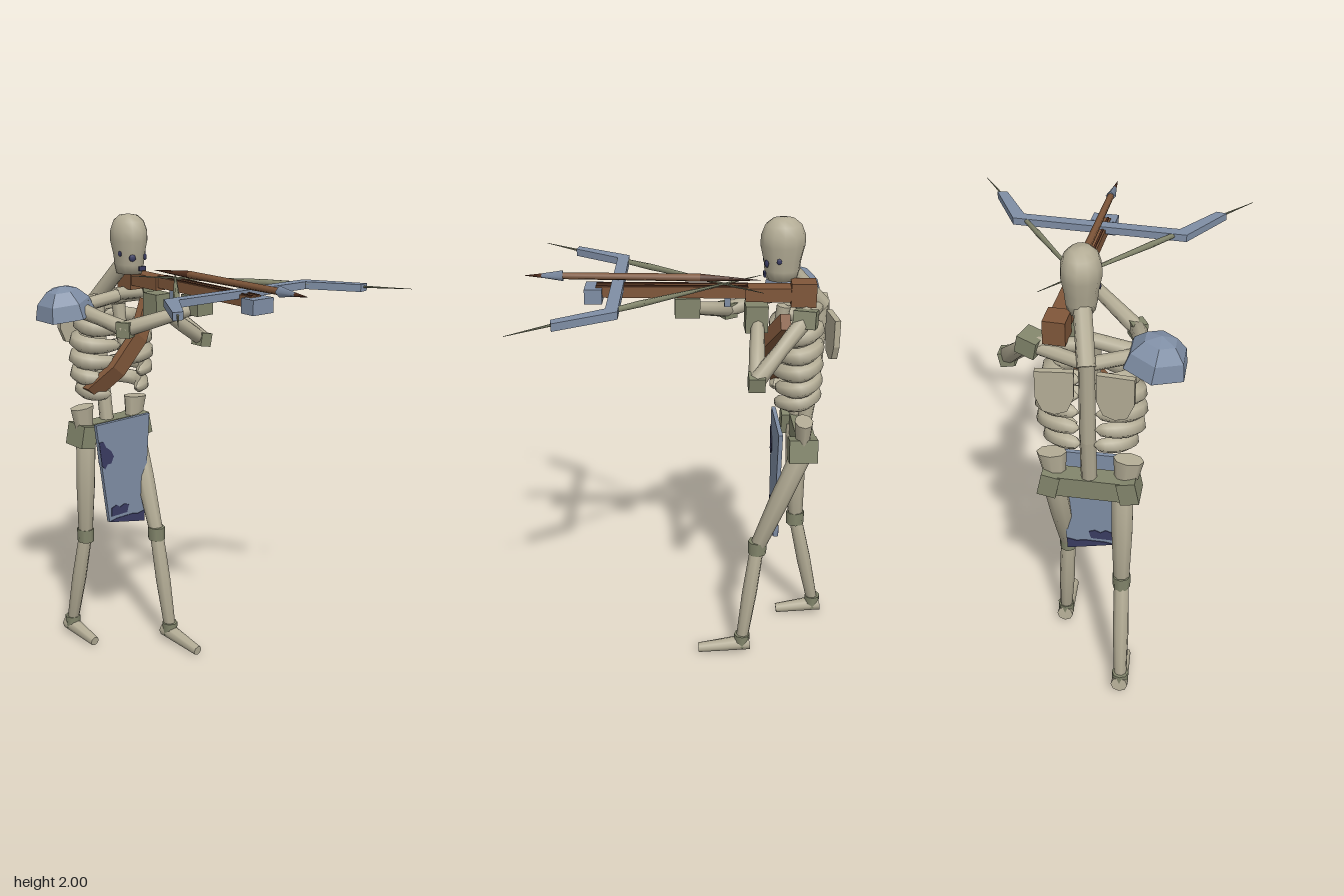
import * as THREE from 'three';

const mat = (name, color) => {
  const m = new THREE.MeshStandardMaterial({ color });
  m.name = name;
  return m;
};
const V = (p) => new THREE.Vector3(...p);
const UP = new THREE.Vector3(0, 1, 0);

export function createModel() {
  const root = new THREE.Group();
  root.name = 'skeletonArcher';
  const bone = mat('bone', 0xb4ad96);
  const joint = mat('old bone', 0x83866c);
  const steel = mat('steel', 0x7f8ea5);
  const stain = mat('dark stain', 0x3a3c62);
  const wood = mat('wood', 0x80573a);
  const darkWood = mat('dark wood', 0x54301f);

  const add = (name, geo, m, parent = root) => {
    const mesh = new THREE.Mesh(geo, m);
    mesh.name = name;
    parent.add(mesh);
    return mesh;
  };
  // tapered rod from a to b
  const rod = (name, a, b, ra, rb, m = bone, sides = 8, parent = root) => {
    const A = V(a), B = V(b), d = B.clone().sub(A);
    const mesh = add(name, new THREE.CylinderGeometry(rb, ra, d.length(), sides), m, parent);
    mesh.position.copy(A).add(B).multiplyScalar(0.5);
    mesh.quaternion.setFromUnitVectors(UP, d.normalize());
    return mesh;
  };
  const box = (name, size, pos, m, parent = root) => {
    const mesh = add(name, new THREE.BoxGeometry(...size), m, parent);
    mesh.position.set(...pos);
    return mesh;
  };
  // limb shaft with a swollen end near each joint
  const limb = (name, a, b, r1, r2, r3) => {
    const d = V(b).sub(V(a)), L = d.length();
    const pts = [[0, 0], [r1, 0], [r2, L * 0.5], [r3, L], [0, L]].map((p) => new THREE.Vector2(...p));
    const mesh = add(name, new THREE.LatheGeometry(pts, 8), bone);
    mesh.position.set(...a);
    mesh.quaternion.setFromUnitVectors(UP, d.normalize());
    return mesh;
  };
  const poly = (pts) => new THREE.Shape(pts.map((p) => new THREE.Vector2(...p)));

  // skull
  const skullPts = [[0, -0.135], [0.052, -0.13], [0.06, -0.09], [0.064, -0.05], [0.076, 0.01],
    [0.075, 0.05], [0.062, 0.09], [0.038, 0.113], [0, 0.12]].map((p) => new THREE.Vector2(...p));
  const skull = add('skull', new THREE.LatheGeometry(skullPts, 12), bone);
  skull.scale.set(1, 1, 1.18);
  skull.position.set(-0.022, 1.88, -0.38);
  for (const s of [-1, 1]) {
    const eye = add('eyeSocket', new THREE.SphereGeometry(0.015, 6, 5), stain);
    eye.scale.z = 0.4;
    eye.position.set(-0.022 + s * 0.034, 1.822, -0.314);
    eye.rotation.y = s * 0.5;
    const cheek = add('cheekHollow', new THREE.SphereGeometry(0.012, 6, 5), stain);
    cheek.scale.x = 0.35;
    cheek.position.set(-0.022 + s * 0.065, 1.838, -0.36);
  }
  const mouth = add('mouth', new THREE.BoxGeometry(0.035, 0.018, 0.008), stain);
  mouth.position.set(-0.008, 1.775, -0.309);

  // spine and neck
  rod('lowerSpine', [-0.07, 1.03, -0.5], [-0.07, 1.3, -0.535], 0.032, 0.032);
  rod('upperSpine', [-0.07, 1.28, -0.535], [-0.07, 1.64, -0.555], 0.032, 0.03);
  rod('neck', [-0.07, 1.62, -0.56], [-0.03, 1.79, -0.41], 0.035, 0.035);
  rod('sternum', [-0.07, 1.36, -0.36], [-0.07, 1.62, -0.4], 0.018, 0.03);

  // ribs: tapered half loops on each side
  const ribW = [0.15, 0.175, 0.18, 0.175, 0.15];
  ribW.forEach((w, i) => {
    for (const s of [-1, 1]) {
      const pts = [];
      for (let k = 0; k <= 8; k++) {
        const a = 0.1 + (k / 8) * (Math.PI - 0.25);
        pts.push(new THREE.Vector3(-0.07 + s * w * Math.sin(a),
          1.525 - i * 0.072 + 0.016 * Math.cos(a) * -1 + 0.01, -0.455 + 0.09 * Math.cos(a)));
      }
      if (i > 2) pts.shift();
      const curve = new THREE.CatmullRomCurve3(pts);
      const geo = new THREE.TubeGeometry(curve, 14, 0.037, 6);
      const p = geo.attributes.position, v = new THREE.Vector3();
      for (let n = 0; n < p.count; n++) {
        const t = geo.attributes.uv.getX(n), c = curve.getPointAt(t);
        const f = Math.pow(Math.max(0, Math.sin(Math.PI * t)), 0.3);
        v.fromBufferAttribute(p, n).sub(c).multiplyScalar(f).add(c);
        p.setXYZ(n, v.x, v.y, v.z);
      }
      geo.computeVertexNormals();
      add('rib', geo, bone);
    }
  });

  // shoulder blades
  const blade = poly([[-0.07, 0.09], [0.07, 0.09], [0.07, -0.02], [0.045, -0.08], [0, -0.095], [-0.045, -0.08], [-0.07, -0.02]]);
  for (const [x, ry] of [[-0.18, 0.08], [0.04, -0.1]]) {
    const m = add('shoulderBlade', new THREE.ExtrudeGeometry(blade, { depth: 0.024, bevelEnabled: false }), bone);
    m.position.set(x, 1.525, -0.6);
    m.rotation.y = -ry;
  }

  // collar bones and arms
  rod('rightCollarBone', [-0.06, 1.65, -0.42], [-0.27, 1.62, -0.44], 0.028, 0.03);
  rod('leftCollarBone', [-0.04, 1.65, -0.46], [0.15, 1.64, -0.47], 0.028, 0.03);
  rod('rightBackCollar', [-0.07, 1.62, -0.54], [-0.25, 1.63, -0.46], 0.028, 0.028);
  rod('leftBackCollar', [-0.07, 1.62, -0.54], [0.13, 1.63, -0.47], 0.028, 0.028);
  box('leftShoulder', [0.08, 0.07, 0.09], [0.15, 1.64, -0.46], joint).rotation.set(0, -0.3, 0.2);
  box('rightShoulder', [0.07, 0.07, 0.08], [-0.27, 1.62, -0.43], joint);
  limb('rightUpperArm', [-0.27, 1.62, -0.43], [-0.205, 1.56, -0.18], 0.036, 0.03, 0.034);
  box('rightElbow', [0.06, 0.065, 0.06], [-0.205, 1.56, -0.18], joint).rotation.y = 0.5;
  limb('rightForearm', [-0.205, 1.56, -0.18], [0.0, 1.64, -0.01], 0.034, 0.03, 0.026);
  box('rightHand', [0.085, 0.08, 0.1], [0.03, 1.66, 0.0], joint);
  limb('leftUpperArm', [0.15, 1.64, -0.46], [0.29, 1.44, -0.26], 0.036, 0.03, 0.036);
  box('leftElbow', [0.06, 0.06, 0.065], [0.29, 1.435, -0.26], joint).rotation.z = -0.2;
  limb('leftForearm', [0.29, 1.435, -0.26], [0.06, 1.6, -0.28], 0.032, 0.032, 0.026);
  box('leftHand', [0.085, 0.11, 0.09], [0.045, 1.615, -0.275], joint);

  // pauldron: six-sided dome
  let dome = new THREE.SphereGeometry(0.128, 6, 3, 0, Math.PI * 2, 0, Math.PI / 2);
  dome.rotateY(Math.PI / 6);
  dome = dome.toNonIndexed();
  dome.computeVertexNormals();
  const pauldron = new THREE.Group();
  pauldron.name = 'pauldron';
  add('pauldronDome', dome, steel, pauldron);
  const base = add('pauldronBase', new THREE.CircleGeometry(0.128, 6), steel, pauldron);
  base.rotation.set(Math.PI / 2, 0, Math.PI / 6 + Math.PI / 3);
  pauldron.position.set(-0.305, 1.59, -0.46);
  pauldron.rotation.z = 0.15;
  root.add(pauldron);

  // chest strap wrapping the front of the ribs
  const strap = [[-0.225, 1.245, -0.41], [-0.14, 1.345, -0.335], [-0.02, 1.48, -0.325], [0.085, 1.605, -0.39]];
  const across = [0.028, -0.024];
  const sp = [], si = [];
  strap.forEach(([x, y, z]) => {
    for (const [s, d] of [[-1, 0.02], [1, 0.02], [1, -0.02], [-1, -0.02]])
      sp.push(x + s * across[0], y + s * across[1], z + d);
  });
  for (let i = 0; i < 3; i++) for (let k = 0; k < 4; k++) {
    const a = i * 4 + k, b = i * 4 + (k + 1) % 4;
    si.push(a, b, a + 4, b, b + 4, a + 4);
  }
  si.push(0, 2, 1, 0, 3, 2, 12, 13, 14, 12, 14, 15);
  let sg = new THREE.BufferGeometry();
  sg.setAttribute('position', new THREE.Float32BufferAttribute(sp, 3));
  sg.setIndex(si);
  sg = sg.toNonIndexed();
  sg.computeVertexNormals();
  add('chestStrap', sg, wood);

  // pelvis
  box('pelvisBar', [0.3, 0.09, 0.08], [-0.07, 1.035, -0.5], joint);
  for (const s of [-1, 1]) {
    const x = (d) => -0.07 + s * d;
    rod('hipBone', [x(0.135), 1.0, -0.485], [x(0.15), 1.165, -0.485], 0.036, 0.06).scale.z = 0.65;
    box('hipJoint', [0.075, 0.1, 0.12], [x(0.155), 1.035, -0.485], joint).rotation.z = s * 0.2;
  }

  // legs
  const legs = [
    ['right', [-0.2, 1.03, -0.49], [-0.205, 0.545, -0.51], [-0.222, 0.07, -0.615], -0.44],
    ['left', [0.075, 1.03, -0.49], [0.055, 0.545, -0.31], [0.082, 0.07, -0.25], -0.05],
  ];
  for (const [side, hip, knee, ankle, toe] of legs) {
    limb(side + 'Thigh', hip, knee, 0.046, 0.044, 0.034);
    const k = rod(side + 'Knee', [knee[0], 0.512, knee[2]], [knee[0], 0.574, knee[2]], 0.037, 0.038, joint);
    k.scale.z = 1.1;
    limb(side + 'Shin', knee, ankle, 0.031, 0.034, 0.027);
    rod(side + 'Ankle', [ankle[0], 0.035, ankle[2]], [ankle[0], 0.095, ankle[2]], 0.034, 0.036, joint);
    rod(side + 'Foot', [ankle[0], 0.05, ankle[2] - 0.035], [ankle[0], 0.022, toe], 0.036, 0.022);
  }

  // hanging waist plate with stains on both faces
  const plateShape = poly([[-0.22, 1.1], [-0.16, 0.63], [0.04, 0.585], [0.08, 1.1]]);
  const plate = add('waistPlate', new THREE.ExtrudeGeometry(plateShape, { depth: 0.018, bevelEnabled: false }), steel);
  plate.position.z = -0.4;
  const stains = [
    [[-0.208, 1.02], [-0.196, 0.91], [-0.18, 0.89], [-0.165, 0.91], [-0.145, 0.91], [-0.13, 0.94], [-0.145, 0.97], [-0.17, 0.99], [-0.185, 1.02]],
    [[-0.16, 0.632], [0.04, 0.587], [0.042, 0.64], [0.0, 0.632], [-0.03, 0.64], [-0.12, 0.64]],
    [[-0.15, 0.655], [-0.06, 0.655], [-0.05, 0.69], [-0.075, 0.7], [-0.1, 0.69], [-0.12, 0.705], [-0.148, 0.695]],
  ];
  for (const pts of stains) for (const z of [-0.383, -0.403])
    add('plateStain', new THREE.ExtrudeGeometry(poly(pts), { depth: 0.004, bevelEnabled: false }), stain).position.z = z;

  // crossbow
  const bow = new THREE.Group();
  bow.name = 'crossbow';
  bow.position.set(0.03, 0, 0);
  bow.rotation.y = -0.05;
  root.add(bow);
  box('butt', [0.085, 0.095, 0.1], [0, 1.715, -0.46], wood, bow);
  box('stock', [0.075, 0.055, 0.2], [0, 1.715, -0.33], wood, bow);
  box('rail', [0.056, 0.045, 0.6], [0, 1.722, 0.06], wood, bow);
  for (const s of [-1, 1])
    box('railGroove', [0.008, 0.006, 0.6], [s * 0.017, 1.746, 0.06], darkWood, bow);
  box('trigger', [0.02, 0.045, 0.025], [0, 1.68, -0.16], steel, bow);
  box('noseBlock', [0.105, 0.06, 0.07], [0, 1.71, 0.37], steel, bow);
  const half = [[0.325, 0.298], [0.45, 0.485], [0.493, 0.478], [0.36, 0.25]];
  const limbShape = poly([...half, ...half.map(([x, y]) => [-x, y]).reverse()]);
  const lg = new THREE.ExtrudeGeometry(limbShape, { depth: 0.03, bevelEnabled: false });
  lg.rotateX(Math.PI / 2);
  add('bowLimbs', lg, steel, bow).position.y = 1.758;
  // crossing strings, pointed at both ends
  for (const s of [-1, 1]) {
    const tip = [s * 0.588, 1.745, 0.632], mid = [s * 0.235, 1.748, 0.165], end = [s * -0.115, 1.75, -0.297];
    rod('string', mid, tip, 0.013, 0.001, joint, 6, bow);
    rod('string', mid, end, 0.013, 0.001, joint, 6, bow);
  }
  // bolt
  rod('boltTail', [0, 1.775, -0.05], [0, 1.765, -0.29], 0.016, 0.001, darkWood, 6, bow);
  rod('boltShaft', [0, 1.775, -0.05], [0, 1.78, 0.5], 0.016, 0.014, wood, 6, bow);
  rod('boltHead', [0, 1.78, 0.49], [0, 1.78, 0.58], 0.022, 0.008, steel, 4, bow);
  rod('boltTip', [0, 1.78, 0.575], [0, 1.78, 0.64], 0.009, 0.001, darkWood, 4, bow);

  return root;
}
